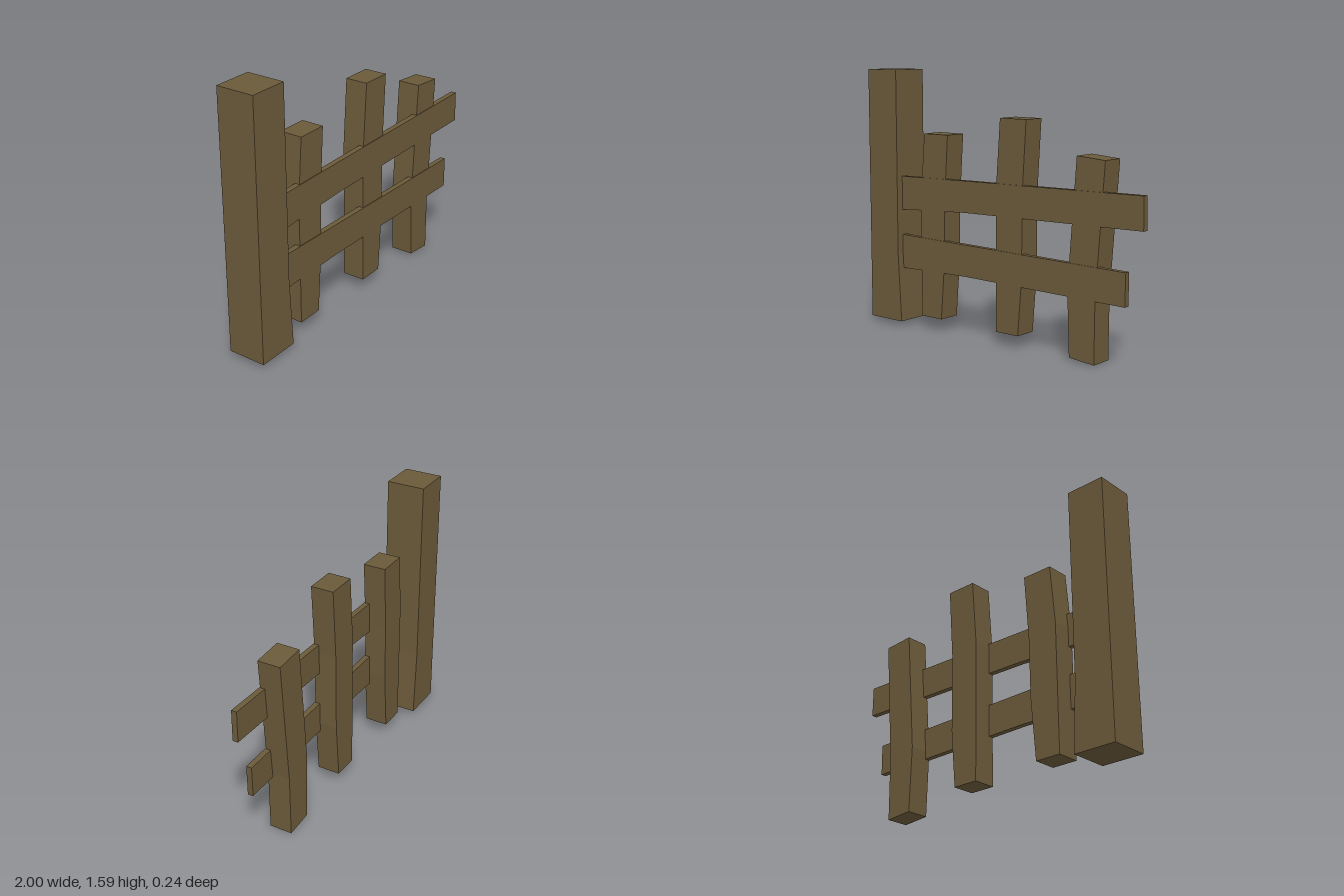
import * as THREE from 'three';

export function createModel() {
  const model = new THREE.Group();
  model.name = 'brokenFence';
  const wood = new THREE.MeshStandardMaterial({ color: 0x6b5a3a });
  wood.name = 'weathered wood';

  // A timber is a bent outline (counter-clockwise) given thickness from back to front
  function timber(name, outline, back, front) {
    const shape = new THREE.Shape(outline.map(([x, y]) => new THREE.Vector2(x, y)));
    const geometry = new THREE.ExtrudeGeometry(shape, { depth: front - back, bevelEnabled: false });
    geometry.translate(0, 0, back);
    const mesh = new THREE.Mesh(geometry, wood);
    mesh.name = name;
    model.add(mesh);
  }

  // Tall end post, flared at the foot
  timber('post', [[-1, 0.03], [-0.74, 0.03], [-0.763, 0.45], [-0.763, 1.59], [-1, 1.59]], -0.118, 0.118);

  // Crooked pickets
  const pickets = {
    rightPicket: [[-0.607, 0.08], [-0.447, 0.08], [-0.417, 0.45], [-0.413, 0.8],
      [-0.386, 1.21], [-0.575, 1.21], [-0.605, 0.85]],
    middlePicket: [[-0.01, 0.075], [0.152, 0.075], [0.18, 0.42], [0.183, 0.9],
      [0.21, 1.33], [0.02, 1.33], [-0.01, 0.92]],
    leftPicket: [[0.52, 0.015], [0.69, 0], [0.693, 0.38], [0.75, 1.136],
      [0.562, 1.15], [0.505, 0.41]],
  };
  for (const [name, outline] of Object.entries(pickets)) timber(name, outline, -0.07, 0.07);

  // Thin rails across the pickets, slightly proud of them
  timber('upperRail', [[-0.765, 0.73], [-0.25, 0.758], [1, 0.78], [0.998, 0.968],
    [-0.25, 0.948], [-0.765, 0.937]], 0.04, 0.074);
  timber('lowerRail', [[-0.765, 0.363], [-0.25, 0.373], [0.89, 0.357], [0.892, 0.547],
    [-0.25, 0.565], [-0.765, 0.573]], 0.04, 0.074);

  return model;
}
